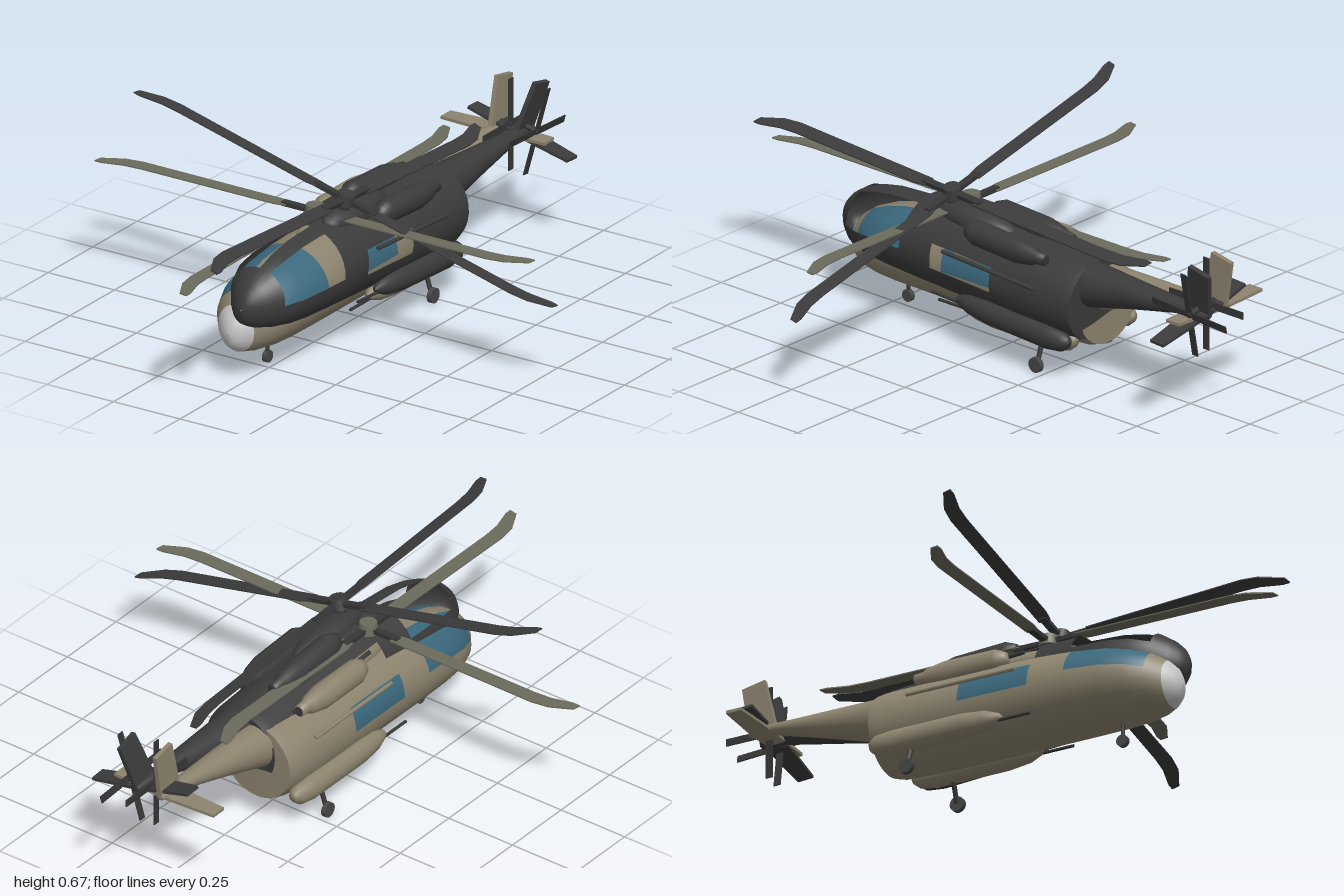
import * as THREE from 'three';

const mat = (name, color) => {
  const m = new THREE.MeshStandardMaterial({ color, side: THREE.DoubleSide });
  m.name = name;
  return m;
};

// Skin through elliptical rings [z, centreY, radiusX, radiusY], front to back.
// paint(z, k) gives the material index of a cell, k counted from the top on either side; -1 leaves it open.
function loft(rings, n = 32, paint = () => 0) {
  const pos = [], faces = [[], [], []];
  for (const [z, cy, rx, ry] of rings)
    for (let j = 0; j < n; j++) {
      const t = (j / n) * Math.PI * 2;
      pos.push(rx * Math.sin(t), cy + ry * Math.cos(t), z);
    }
  for (let i = 0; i < rings.length - 1; i++)
    for (let j = 0; j < n; j++) {
      const m = paint((rings[i][0] + rings[i + 1][0]) / 2, Math.min(j, n - 1 - j));
      if (m < 0) continue;
      const a = i * n + j, b = i * n + ((j + 1) % n), c = a + n, d = b + n;
      faces[m].push(a, b, c, b, d, c);
    }
  const g = new THREE.BufferGeometry();
  g.setAttribute('position', new THREE.Float32BufferAttribute(pos, 3));
  g.setIndex(faces.flat());
  let start = 0;
  faces.forEach((f, m) => { g.addGroup(start, f.length, m); start += f.length; });
  g.computeVertexNormals();
  return g;
}

const BODY = [
  [0.682, 0.165, 0.002, 0.002], [0.678, 0.166, 0.022, 0.03], [0.665, 0.169, 0.043, 0.055],
  [0.64, 0.175, 0.068, 0.078], [0.595, 0.186, 0.103, 0.1], [0.53, 0.197, 0.129, 0.117],
  [0.45, 0.206, 0.14, 0.13], [0.33, 0.213, 0.145, 0.138], [0.2, 0.217, 0.145, 0.143],
  [0.08, 0.218, 0.145, 0.144], [-0.05, 0.218, 0.145, 0.144], [-0.2, 0.219, 0.145, 0.143],
  [-0.34, 0.222, 0.141, 0.139], [-0.375, 0.225, 0.132, 0.132], [-0.375, 0.225, 0.132, 0.132],
  [-0.378, 0.27, 0.002, 0.002],
];
const BOOM = [
  [-0.3, 0.275, 0.085, 0.085], [-0.37, 0.282, 0.07, 0.077], [-0.55, 0.312, 0.048, 0.05],
  [-0.78, 0.347, 0.024, 0.018], [-0.87, 0.349, 0.016, 0.012], [-0.875, 0.349, 0.001, 0.001],
];
const SPONSON = [
  [0.11, 0.13, 0.002, 0.002], [0.1, 0.13, 0.014, 0.015], [0.05, 0.13, 0.03, 0.034],
  [-0.03, 0.13, 0.038, 0.042], [-0.28, 0.13, 0.038, 0.042], [-0.34, 0.132, 0.031, 0.034],
  [-0.362, 0.134, 0.016, 0.018], [-0.364, 0.134, 0.001, 0.001],
];
const NACELLE = [
  [0.09, 0.36, 0.002, 0.002], [0.085, 0.36, 0.024, 0.027], [0.05, 0.36, 0.038, 0.043],
  [-0.13, 0.36, 0.039, 0.044], [-0.19, 0.362, 0.028, 0.033], [-0.21, 0.364, 0.02, 0.022],
  [-0.24, 0.364, 0.018, 0.02], [-0.24, 0.364, 0.001, 0.001],
];

// Cockpit glazing, side windows and nose cap
const bodyPaint = (glazed) => (z, k) => {
  const cockpit = z < 0.595 && z > 0.33 && k >= 1 && k <= 6;
  const cabin = z < 0.2 && z > -0.05 && k >= 5 && k <= 7;
  if (cockpit || cabin) return glazed ? 1 : -1;
  return z > 0.64 ? 2 : 0;
};

// Flat plate from an outline
function plate(points, depth) {
  const g = new THREE.ExtrudeGeometry(new THREE.Shape(points.map(([x, y]) => new THREE.Vector2(x, y))),
    { depth, bevelEnabled: false });
  return g.translate(0, 0, -depth / 2);
}

function rod(a, b, r) {
  const p = new THREE.Vector3(...a), q = new THREE.Vector3(...b), d = q.clone().sub(p);
  const g = new THREE.CylinderGeometry(r, r, d.length(), 10);
  g.applyQuaternion(new THREE.Quaternion().setFromUnitVectors(new THREE.Vector3(0, 1, 0), d.normalize()));
  return g.translate(...p.add(q).multiplyScalar(0.5).toArray());
}

function helicopter(name, { skin, blade, glass, nose, metal, tyre, gear }) {
  const group = new THREE.Group();
  group.name = name;
  const add = (part, geo, m, x = 0, y = 0, z = 0, parent = group) => {
    const mesh = new THREE.Mesh(geo, m);
    mesh.name = part;
    mesh.position.set(x, y, z);
    parent.add(mesh);
    return mesh;
  };

  // Fuselage
  add('fuselage', loft(BODY, 32, bodyPaint(!!glass)), [skin, glass || skin, nose]);
  add('tailBoom', loft(BOOM, 24), skin);
  add('mastFairing', new THREE.SphereGeometry(1, 20, 12).scale(0.055, 0.045, 0.17), skin, 0, 0.352, 0.12);
  for (const s of [-1, 1]) {
    add('sponson', loft(SPONSON, 20), skin, s * 0.135);
    add('engineNacelle', loft(NACELLE, 20), skin, s * 0.065);
    add('exhaust', rod([s * 0.065, 0.364, -0.22], [s * 0.065, 0.364, -0.245], 0.015), metal);
    add('sideProbe', rod([s * 0.14, 0.12, 0.21], [s * 0.14, 0.12, 0.02], 0.005), metal);
    add('sideRail', rod([s * 0.129, 0.29, 0.15], [s * 0.129, 0.29, -0.24], 0.007), skin);
  }

  // Tail surfaces
  add('tailFin', plate([[0.772, 0.333], [0.817, 0.523], [0.898, 0.507], [0.872, 0.34]], 0.016)
    .rotateY(Math.PI / 2), skin);
  add('stabilizer', plate([[-0.195, 0.795], [-0.195, 0.85], [0, 0.862], [0.195, 0.85], [0.195, 0.795], [0, 0.787]], 0.01)
    .rotateX(-Math.PI / 2), skin, 0, 0.343);

  // Main rotor
  const rotor = new THREE.Group();
  rotor.name = 'mainRotor';
  rotor.position.set(0, 0.42, 0.2);
  group.add(rotor);
  add('mast', new THREE.CylinderGeometry(0.018, 0.022, 0.1, 16), metal, 0, -0.04, 0, rotor);
  add('hub', new THREE.CylinderGeometry(0.028, 0.034, 0.036, 20), blade, 0, 0.004, 0, rotor);
  const bladeGeo = plate([[0.1, -0.022], [0.66, -0.025], [0.72, -0.015], [0.79, 0.022], [0.795, 0.05],
    [0.77, 0.05], [0.7, 0.03], [0.64, 0.025], [0.14, 0.025], [0.1, 0.018]], 0.004).rotateX(-Math.PI / 2);
  const cuffGeo = new THREE.BoxGeometry(0.1, 0.014, 0.024);
  for (let i = 0; i < 4; i++) {
    const arm = new THREE.Group();
    arm.name = 'rotorArm';
    arm.rotation.y = i * Math.PI / 2;
    rotor.add(arm);
    add('rotorBlade', bladeGeo, blade, 0, 0, 0, arm);
    add('bladeCuff', cuffGeo, metal, 0.07, 0, 0, arm);
  }

  // Tail rotor
  const tail = new THREE.Group();
  tail.name = 'tailRotor';
  tail.position.set(0.045, 0.365, -0.83);
  group.add(tail);
  add('tailRotorShaft', rod([-0.045, 0, 0], [0.006, 0, 0], 0.01), metal, 0, 0, 0, tail);
  for (let i = 0; i < 2; i++)
    add('tailRotorBlade', new THREE.BoxGeometry(0.004, 0.31, 0.024), metal, 0, 0, 0, tail).rotation.x = i * Math.PI / 2;

  // Landing gear
  if (gear) {
    const wheel = (x, r, z) => add('wheel', new THREE.CylinderGeometry(r, r, 0.016, 20).rotateZ(Math.PI / 2), tyre, x, r, z);
    add('noseStrut', rod([0, 0.1, 0.465], [0, 0.02, 0.465], 0.006), metal);
    wheel(0, 0.02, 0.465);
    for (const s of [-1, 1]) {
      add('mainStrut', rod([s * 0.13, 0.11, -0.22], [s * 0.158, 0.025, -0.22], 0.008), metal);
      wheel(s * 0.163, 0.025, -0.22);
    }
  }
  return group;
}

export function createModel() {
  const tan = mat('tan paint', 0x8c836e);
  const dark = mat('charcoal paint', 0x3c3b3b);
  const tanBlade = mat('olive blade', 0x6a6a5c);
  const glass = mat('blue glass', 0x3a687d);
  const nose = mat('pale nose', 0xc4c4c4);
  const metal = mat('dark metal', 0x363636);
  const tyre = mat('tyre rubber', 0x464646);

  const model = new THREE.Group();
  model.name = 'helicopterPair';

  // Level tan machine
  const level = helicopter('tanHelicopter', { skin: tan, blade: tanBlade, glass, nose, metal, tyre, gear: true });
  level.position.x = -0.03;
  model.add(level);

  // Dark machine overlapping it, rolled and pitched about its middle, with open windows
  const tilted = helicopter('darkHelicopter', { skin: dark, blade: dark, glass: null, nose: dark, metal, tyre, gear: false });
  tilted.position.set(0, -0.22, -0.19);
  const pivot = new THREE.Group();
  pivot.name = 'tiltedPivot';
  pivot.position.set(0.027, 0.284, 0.185);
  pivot.rotation.set(-0.056, 0, -0.243);
  pivot.add(tilted);
  model.add(pivot);
  return model;
}
